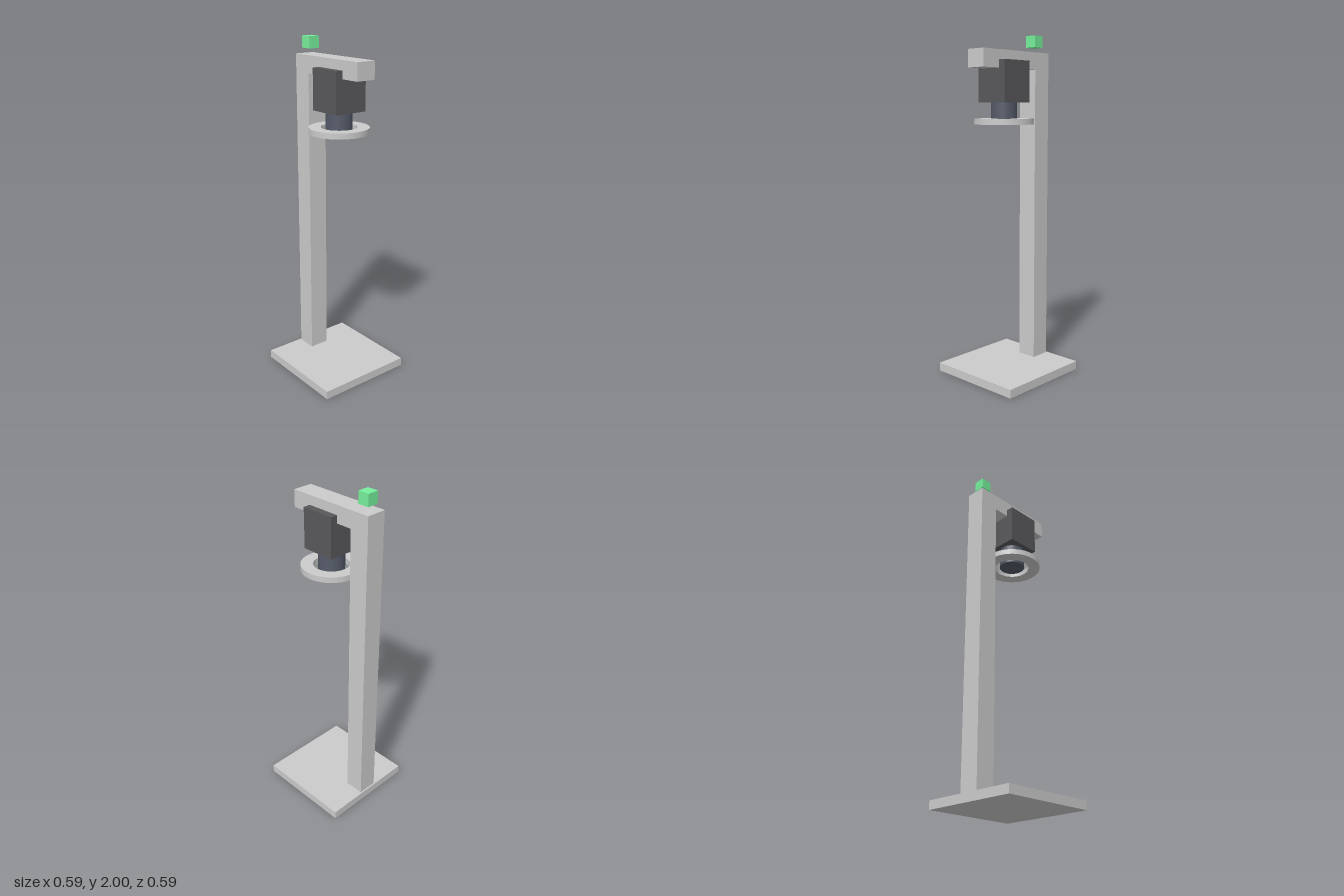
import * as THREE from 'three';

const material = (color) => new THREE.MeshStandardMaterial({ color });

export function createModel() {
  const model = new THREE.Group();
  model.name = 'cameraStand';
  const grey = material(0xcccccc);
  const axisX = 0.034; // vertical axis shared by camera, lens and ring light

  const add = (name, geometry, mat, x, y, z = 0) => {
    const mesh = new THREE.Mesh(geometry, mat);
    mesh.name = name;
    mesh.position.set(x, y, z);
    model.add(mesh);
    return mesh;
  };

  // Box given by its x and y limits and its depth, centred on z = 0
  const addBox = (name, mat, x0, x1, y0, y1, depth) =>
    add(name, new THREE.BoxGeometry(x1 - x0, y1 - y0, depth), mat, (x0 + x1) / 2, (y0 + y1) / 2);

  // Stand: base plate, upright post and overhanging arm
  addBox('base', grey, -0.294, 0.294, 0, 0.05, 0.588);
  addBox('post', grey, -0.285, -0.167, 0.05, 1.8, 0.12);
  addBox('arm', grey, -0.285, 0.257, 1.8, 1.9, 0.12);

  // Camera body hanging from the arm
  addBox('cameraBody', material(0x59595c), axisX - 0.103, axisX + 0.103, 1.61, 1.845, 0.206);

  // Lens pointing down
  add('lens', new THREE.CylinderGeometry(0.075, 0.075, 0.118, 48), material(0x555b69), axisX, 1.551);

  // Flat ring light around the lens
  const ring = new THREE.Shape().absarc(0, 0, 0.172, 0, Math.PI * 2);
  ring.holes.push(new THREE.Path().absarc(0, 0, 0.102, 0, Math.PI * 2, true));
  const ringGeometry = new THREE.ExtrudeGeometry(ring, { depth: 0.033, bevelEnabled: false, curveSegments: 64 });
  ringGeometry.rotateX(-Math.PI / 2);
  add('ringLight', ringGeometry, material(0xfcfcff), axisX, 1.487);

  // Indicator lamp floating just above the post
  addBox('indicatorLamp', material(0x77f09c), -0.259, -0.191, 1.932, 2, 0.068);

  return model;
}
